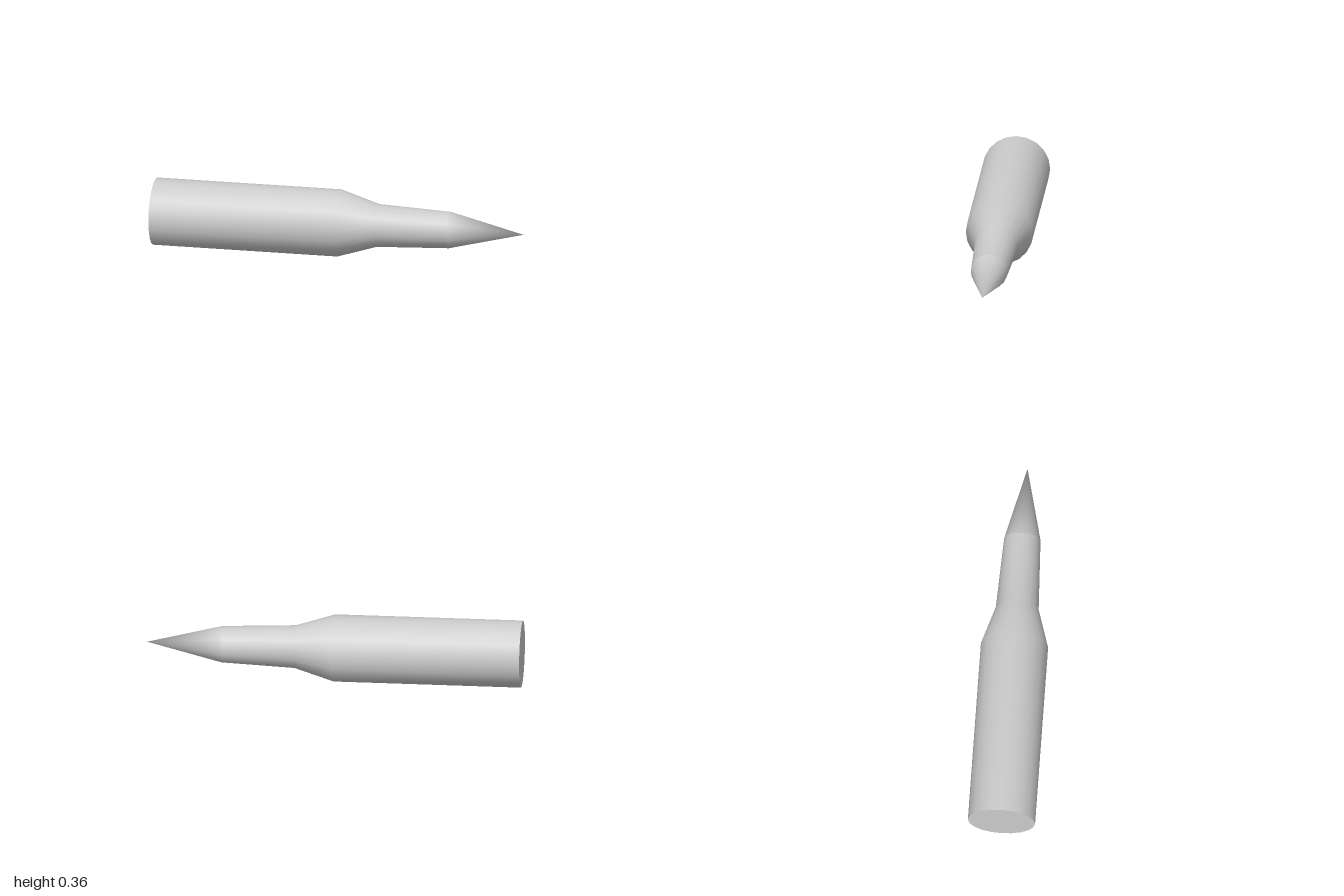
import * as THREE from 'three';
import { mergeVertices } from 'three/addons/utils/BufferGeometryUtils.js';

const SIDES = 20;
const RADIUS = 0.179;

// Turns a [position along x, radius] profile around the x axis, with smooth normals.
function turned(profile) {
  const points = profile.map(([x, r]) => new THREE.Vector2(r, x));
  let geometry = new THREE.LatheGeometry(points, SIDES);
  geometry.deleteAttribute('uv');
  geometry.deleteAttribute('normal');
  geometry = mergeVertices(geometry, 1e-5);
  geometry.computeVertexNormals();
  return geometry.rotateZ(-Math.PI / 2);
}

export function createModel() {
  const group = new THREE.Group();
  group.name = 'cartridge';
  const material = new THREE.MeshStandardMaterial({ color: 0xcccccc });

  const add = (name, geometry) => {
    const mesh = new THREE.Mesh(geometry, material);
    mesh.name = name;
    mesh.position.y = RADIUS;
    group.add(mesh);
  };

  // Straight case, sloping shoulder and slightly tapered neck
  add('caseAndNeck', turned([[-1, RADIUS], [0, RADIUS], [0.21, 0.114], [0.6, 0.097]]));

  // Pointed nose
  add('nose', turned([[0.6, 0.097], [1, 0]]));

  // Flat rear end
  add('base', new THREE.CircleGeometry(RADIUS, SIDES).rotateY(-Math.PI / 2).translate(-1, 0, 0));

  return group;
}
